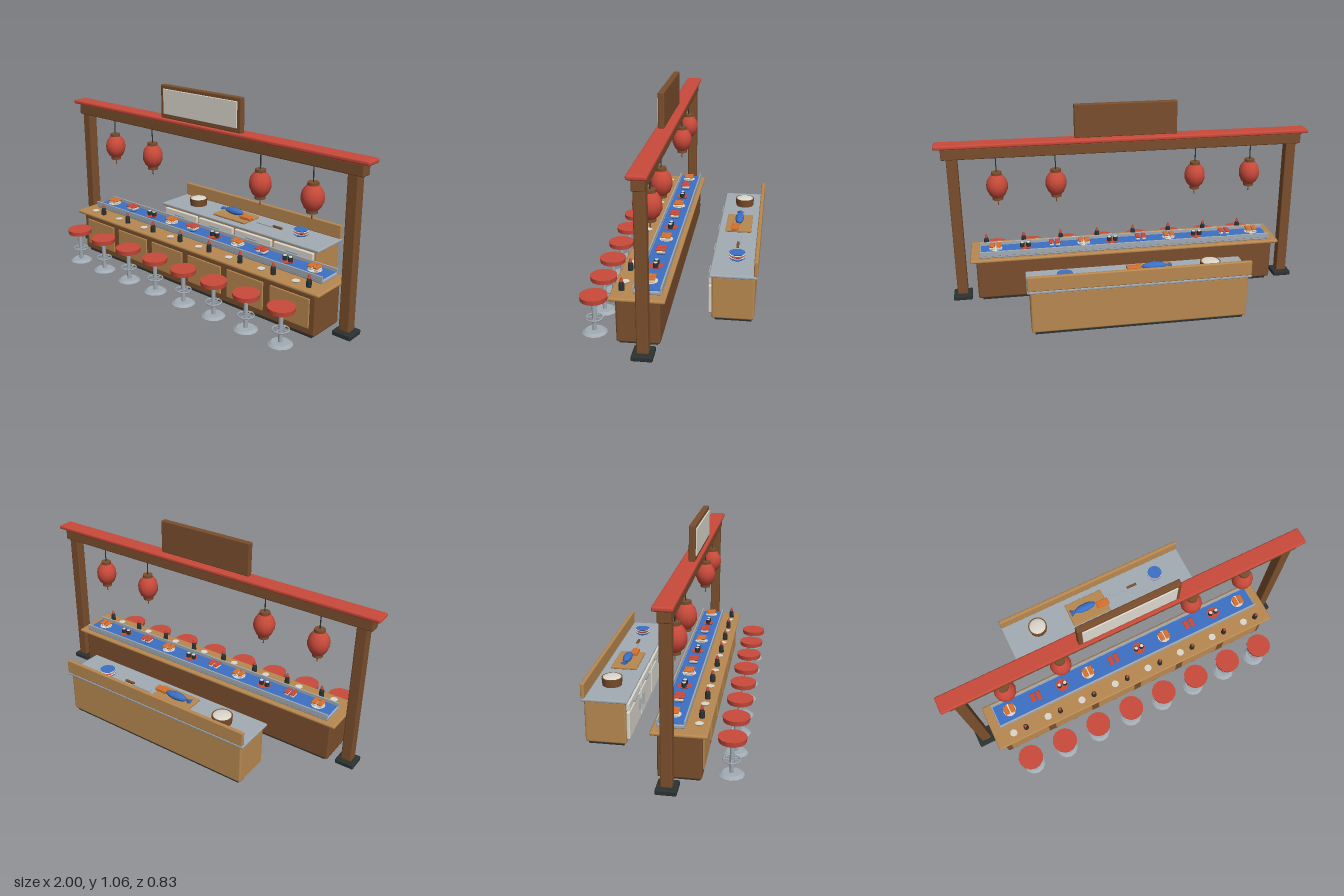
import * as THREE from 'three';
import { RoundedBoxGeometry } from 'three/addons/geometries/RoundedBoxGeometry.js';

const paint = (name, color) => {
  const m = new THREE.MeshStandardMaterial({ color });
  m.name = name;
  return m;
};

export function createModel() {
  const root = new THREE.Group();
  root.name = 'sushiBar';
  const brown = paint('dark wood', 0x7a4e2c), wood = paint('light wood', 0xb88850);
  const red = paint('red', 0xc94a3a), dark = paint('charcoal', 0x2b3232);
  const steel = paint('steel', 0xa2abb4), blue = paint('blue', 0x3b70c4);
  const cream = paint('cream', 0xdcd8ce), orange = paint('orange', 0xd9702c);

  const group = (name, x = 0, y = 0, z = 0, parent = root) => {
    const g = new THREE.Group();
    g.name = name;
    g.position.set(x, y, z);
    parent.add(g);
    return g;
  };
  const add = (parent, name, geo, mat, x = 0, y = 0, z = 0) => {
    const m = new THREE.Mesh(geo, mat);
    m.name = name;
    m.position.set(x, y, z);
    parent.add(m);
    return m;
  };
  // Box given by its min and max on each axis, with slightly softened edges
  const box = (parent, name, mat, [x0, x1], [y0, y1], [z0, z1], r = 0.006) => {
    const w = x1 - x0, h = y1 - y0, d = z1 - z0;
    const geo = r ? new RoundedBoxGeometry(w, h, d, 2, Math.min(r, w * 0.45, h * 0.45, d * 0.45))
      : new THREE.BoxGeometry(w, h, d);
    return add(parent, name, geo, mat, (x0 + x1) / 2, (y0 + y1) / 2, (z0 + z1) / 2);
  };
  // Upright cylinder from y0 to y1
  const cyl = (parent, name, mat, rTop, rBot, y0, y1, x = 0, z = 0, n = 12) =>
    add(parent, name, new THREE.CylinderGeometry(rTop, rBot, y1 - y0, n), mat, x, (y0 + y1) / 2, z);

  // Gate: posts, beam, roof strip and sign
  const gate = group('gate');
  for (const s of [-1, 1]) {
    const x = s * 0.912;
    box(gate, 'postFoot', dark, [x - 0.05, x + 0.05], [0.004, 0.03], [0.029, 0.127]);
    box(gate, 'post', brown, [x - 0.028, x + 0.028], [0.03, 0.81], [0.05, 0.105]);
  }
  box(gate, 'beam', brown, [-0.965, 0.965], [0.8, 0.86], [0.048, 0.107]);
  box(gate, 'roofStrip', red, [-1, 1], [0.86, 0.882], [0.032, 0.122], 0.008);
  box(gate, 'signFrame', brown, [-0.275, 0.275], [0.88, 1.06], [0.075, 0.107]);
  box(gate, 'signPanel', cream, [-0.253, 0.253], [0.905, 1.04], [0.105, 0.113], 0.003);

  // Hanging lanterns
  const lanternProfile = [[0.022, -0.066], [0.042, -0.047], [0.055, -0.018], [0.057, 0.008],
    [0.051, 0.034], [0.036, 0.056], [0.022, 0.068]].map(([x, y]) => new THREE.Vector2(x, y));
  const lanternGeo = new THREE.LatheGeometry(lanternProfile, 12);
  for (const x of [-0.69, -0.38, 0.38, 0.69]) {
    const g = group('lantern', x, 0.64, 0.077);
    add(g, 'lanternShade', lanternGeo, red);
    cyl(g, 'lanternTopCap', brown, 0.028, 0.028, 0.06, 0.078);
    cyl(g, 'lanternBottomCap', brown, 0.028, 0.028, -0.075, -0.058);
    cyl(g, 'lanternCord', dark, 0.003, 0.003, 0.078, 0.165, 0, 0, 6);
    cyl(g, 'lanternTassel', brown, 0.003, 0.003, -0.107, -0.075, 0, 0, 6);
  }

  // Customer counter
  const counter = group('counter');
  box(counter, 'counterPlinth', dark, [-0.805, 0.805], [0, 0.02], [0.03, 0.21], 0);
  box(counter, 'counterBody', brown, [-0.827, 0.827], [0.014, 0.24], [0.015, 0.221], 0.01);
  for (let i = 0; i < 6; i++) {
    const x = (i - 2.5) * 0.272;
    box(counter, 'counterPanel', wood, [x - 0.115, x + 0.115], [0.052, 0.205], [0.219, 0.228], 0.003);
  }
  box(counter, 'counterTop', wood, [-0.858, 0.858], [0.235, 0.253], [-0.012, 0.248], 0.008);

  // Conveyor with rails
  const conveyor = group('conveyor');
  box(conveyor, 'conveyorBed', steel, [-0.807, 0.807], [0.253, 0.272], [0.01, 0.142]);
  box(conveyor, 'conveyorBelt', blue, [-0.8, 0.8], [0.27, 0.275], [0.02, 0.132], 0);
  for (const z of [0.013, 0.139])
    box(conveyor, 'conveyorRail', steel, [-0.807, 0.807], [0.265, 0.292], [z - 0.004, z + 0.004], 0.002);

  // Plates of food on the belt, in a repeating order
  for (let i = 0; i < 10; i++) {
    const g = group('foodPlate', (i - 4.5) * 0.16, 0.275, 0.076);
    cyl(g, 'plate', [blue, red, cream][(i + 2) % 3], 0.036, 0.026, 0, 0.007);
    for (const s of [-1, 1]) {
      const x = s * 0.017;
      if (i % 3 === 2) {
        cyl(g, 'rollWrap', dark, 0.013, 0.013, 0.007, 0.03, x, 0, 10);
        cyl(g, 'rollRice', cream, 0.01, 0.01, 0.03, 0.032, x, 0, 10);
      } else {
        box(g, 'rice', cream, [x - 0.011, x + 0.011], [0.007, 0.021], [-0.022, 0.022], 0.005);
        box(g, 'topping', i % 3 ? red : orange, [x - 0.013, x + 0.013], [0.021, 0.031], [-0.026, 0.026], 0.004);
      }
    }
  }

  // Stools, each with a sauce bottle and dish on the counter
  const ring = new THREE.TorusGeometry(0.04, 0.004, 6, 16).rotateX(Math.PI / 2);
  for (let i = 0; i < 8; i++) {
    const x = (i - 3.5) * 0.207;
    const stool = group('stool', x, 0, 0.346);
    cyl(stool, 'stoolBase', steel, 0.045, 0.061, 0, 0.011);
    cyl(stool, 'stoolPost', steel, 0.011, 0.011, 0.01, 0.172, 0, 0, 10);
    add(stool, 'footRing', ring, steel, 0, 0.075, 0);
    for (const a of [0, Math.PI / 2]) {
      const spoke = add(stool, 'footSpoke', new THREE.BoxGeometry(0.08, 0.005, 0.005), steel, 0, 0.075, 0);
      spoke.rotation.y = a;
    }
    cyl(stool, 'stoolSeat', red, 0.068, 0.065, 0.17, 0.194, 0, 0, 14);

    const bottle = group('sauceBottle', x + 0.047, 0.253, 0.2);
    cyl(bottle, 'bottleBody', dark, 0.013, 0.014, 0, 0.032, 0, 0, 10);
    cyl(bottle, 'bottleNeck', dark, 0.006, 0.013, 0.032, 0.046, 0, 0, 10);
    cyl(bottle, 'bottleCap', red, 0.004, 0.009, 0.044, 0.062, 0, 0, 10);
    cyl(root, 'sauceDish', cream, 0.02, 0.015, 0.253, 0.261, x - 0.027, 0.198);
  }

  // Back kitchen station
  const station = group('kitchenStation');
  box(station, 'stationPlinth', dark, [-0.54, 0.54], [0, 0.02], [-0.385, -0.205], 0);
  box(station, 'stationBody', wood, [-0.557, 0.557], [0.014, 0.24], [-0.398, -0.19], 0.01);
  box(station, 'worktop', steel, [-0.572, 0.572], [0.238, 0.254], [-0.41, -0.178]);
  box(station, 'backBoard', wood, [-0.57, 0.57], [0.252, 0.331], [-0.411, -0.391]);
  for (let i = 0; i < 4; i++) {
    const x = (i - 1.5) * 0.275, hx = x + (i % 2 ? -0.1 : 0.1);
    box(station, 'door', cream, [x - 0.13, x + 0.13], [0.035, 0.182], [-0.192, -0.173]);
    box(station, 'drawer', cream, [x - 0.13, x + 0.13], [0.188, 0.231], [-0.192, -0.173]);
    box(station, 'doorHandle', steel, [hx - 0.006, hx + 0.006], [0.09, 0.155], [-0.174, -0.164], 0.003);
    box(station, 'drawerHandle', steel, [x - 0.04, x + 0.04], [0.197, 0.21], [-0.174, -0.164], 0.003);
  }

  // Rice tub
  const tub = group('riceTub', -0.38, 0.254, -0.298);
  cyl(tub, 'tubWall', brown, 0.054, 0.05, 0, 0.042, 0, 0, 16);
  const rice = add(tub, 'tubRice', new THREE.SphereGeometry(0.049, 16, 5, 0, Math.PI * 2, 0, Math.PI / 2), cream, 0, 0.04, 0);
  rice.scale.y = 0.2;

  // Cutting board with fish and fillet
  box(station, 'cuttingBoard', wood, [-0.187, 0.046], [0.254, 0.267], [-0.355, -0.215], 0.004);
  const fish = group('fish', -0.085, 0.286, -0.285);
  add(fish, 'fishBody', new THREE.SphereGeometry(0.06, 14, 8), blue).scale.set(1.1, 0.34, 0.4);
  const tail = add(fish, 'fishTail', new THREE.ConeGeometry(0.022, 0.04, 4).rotateZ(-Math.PI / 2), blue, -0.07, 0, 0);
  tail.scale.y = 0.5;
  add(fish, 'fishFin', new THREE.ConeGeometry(0.02, 0.02, 4), blue, 0, 0.022, 0).scale.z = 0.3;
  box(station, 'fillet', orange, [-0.018, 0.056], [0.267, 0.285], [-0.287, -0.248], 0.005);

  // Knife and stacked plates
  box(station, 'knifeBlade', steel, [0.08, 0.195], [0.254, 0.259], [-0.306, -0.284], 0);
  box(station, 'knifeHandle', brown, [0.19, 0.252], [0.254, 0.266], [-0.301, -0.288], 0.003);
  [blue, cream, red, cream, blue].forEach((mat, i) =>
    cyl(station, 'stackedPlate', mat, 0.041, 0.032, 0.254 + i * 0.007, 0.261 + i * 0.007, 0.376, -0.3, 16));

  return root;
}
